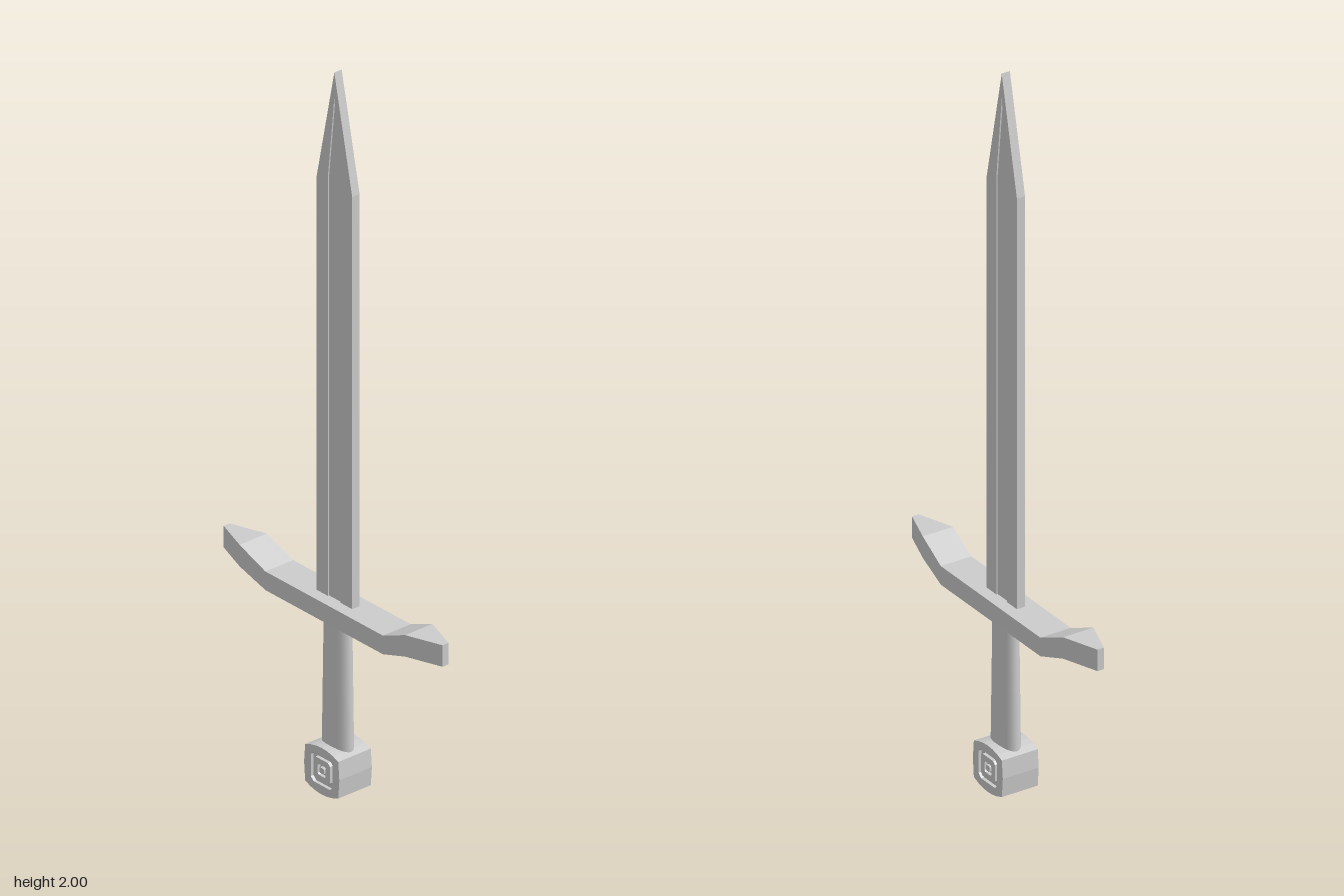
import * as THREE from 'three';

const material = new THREE.MeshStandardMaterial({ color: 0xcccccc, flatShading: true });
const smooth = new THREE.MeshStandardMaterial({ color: 0xcccccc });

function add(parent, name, geometry, mat = material) {
  const mesh = new THREE.Mesh(geometry, mat);
  mesh.name = name;
  parent.add(mesh);
  return mesh;
}

// Extrude a shape drawn in (z, y) to a slab of half thickness t, centred on x = 0
function slab(shape, t) {
  const g = new THREE.ExtrudeGeometry(shape, { depth: 2 * t, bevelEnabled: false, curveSegments: 6 });
  g.translate(0, 0, -t);
  return g.rotateY(-Math.PI / 2);
}

const polygon = (pts) => pts.map(([z, y]) => new THREE.Vector2(z, y));

// Square with clipped corners, for the inlay on the pommel
function clippedSquare(r, cy) {
  const c = r * 0.75;
  return polygon([[-c, cy - r], [c, cy - r], [r, cy - c], [r, cy + c],
    [c, cy + r], [-c, cy + r], [-r, cy + c], [-r, cy - c]]);
}

function withHole(points, hole) {
  const shape = new THREE.Shape(points);
  if (hole) shape.holes.push(new THREE.Path(hole));
  return shape;
}

function makeBlade() {
  const blade = new THREE.Group();
  blade.name = 'blade';
  const outline = polygon([[-0.067, 0.5], [0.067, 0.5], [0.067, 1.68], [0, 2], [-0.067, 1.68]]);
  const fuller = polygon([[-0.024, 0.51], [0.024, 0.51], [0.024, 1.7], [0, 1.93], [-0.024, 1.7]]);
  add(blade, 'bladeEdges', slab(withHole(outline, fuller), 0.012));
  add(blade, 'fuller', slab(withHole(fuller), 0.008));
  return blade;
}

// Crossguard: a box whose sections are moved to [z, yBottom, yTop, xMin, xMax]
function makeGuardGeometry() {
  const half = [[0.22, 0.478, 0.53, -0.045, 0.045], [0.31, 0.51, 0.57, -0.051, 0.038], [0.41, 0.51, 0.57, -0.016, 0.003]];
  const sections = [...half.map(([z, ...rest]) => [-z, ...rest]).reverse(), ...half];
  const g = new THREE.BoxGeometry(1, 1, 1, 1, 1, 5);
  const p = g.attributes.position;
  for (let i = 0; i < p.count; i++) {
    const [z, y0, y1, x0, x1] = sections[Math.round((p.getZ(i) + 0.5) * 5)];
    p.setXYZ(i, p.getX(i) < 0 ? x0 : x1, p.getY(i) < 0 ? y0 : y1, z);
  }
  g.computeVertexNormals();
  return g;
}

function makePommel() {
  const pommel = new THREE.Group();
  pommel.name = 'pommel';
  const cy = 0.066;
  // Block with bowed top and bottom
  const body = new THREE.Shape();
  body.moveTo(-0.062, 0.014);
  body.quadraticCurveTo(0, -0.014, 0.062, 0.014);
  body.lineTo(0.066, cy);
  body.lineTo(0.062, 0.116);
  body.quadraticCurveTo(0, 0.144, -0.062, 0.116);
  body.lineTo(-0.066, cy);
  body.closePath();
  body.holes.push(new THREE.Path(clippedSquare(0.041, cy)));
  add(pommel, 'pommelBlock', slab(body, 0.053));
  // Recessed floor, then the raised frame and stud within it
  add(pommel, 'pommelRecess', slab(withHole(clippedSquare(0.041, cy)), 0.044));
  add(pommel, 'pommelFrame', slab(withHole(clippedSquare(0.031, cy), clippedSquare(0.015, cy)), 0.053));
  add(pommel, 'pommelStud', slab(withHole(clippedSquare(0.008, cy)), 0.053));
  return pommel;
}

export function createModel() {
  const sword = new THREE.Group();
  sword.name = 'sword';
  sword.add(makeBlade());
  add(sword, 'crossguard', makeGuardGeometry());
  // Oval grip, slightly wider at the pommel
  const grip = new THREE.CylinderGeometry(0.044, 0.05, 0.38, 24);
  grip.scale(0.6, 1, 1).translate(0, 0.305, 0);
  add(sword, 'grip', grip, smooth);
  sword.add(makePommel());
  return sword;
}
